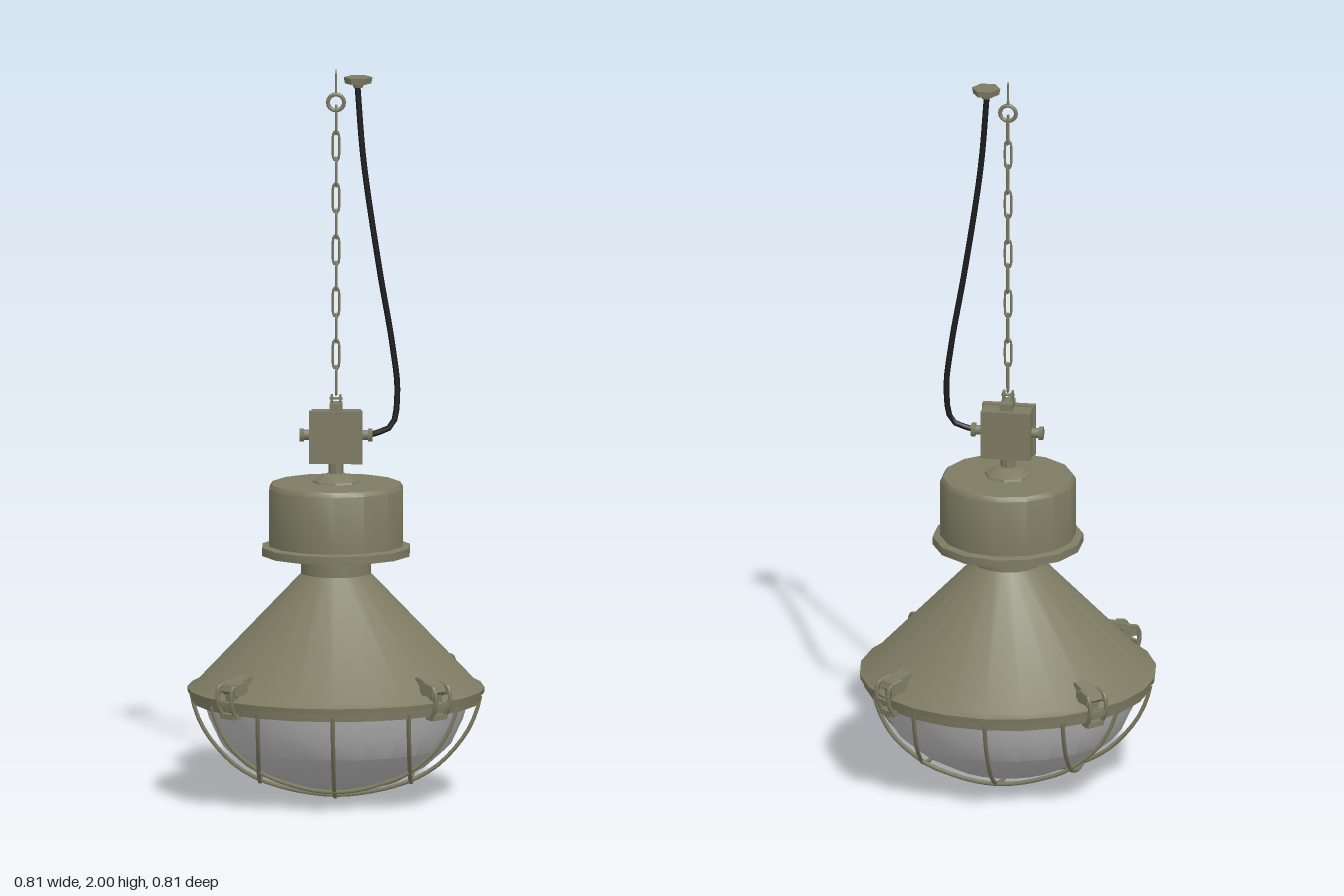
import * as THREE from 'three';
import { toCreasedNormals } from 'three/addons/utils/BufferGeometryUtils.js';

const mat = (name, color, side = THREE.FrontSide) => {
  const m = new THREE.MeshStandardMaterial({ color, side });
  m.name = name;
  return m;
};
const V = (x, y, z) => new THREE.Vector3(x, y, z);

export function createModel() {
  const model = new THREE.Group();
  model.name = 'pendantLamp';
  const olive = mat('olive paint', 0x7d7b62);
  const black = mat('black rubber', 0x1c1c1c);
  const glass = mat('frosted glass', 0xb9b9b9, THREE.DoubleSide);

  const add = (name, geo, m, x = 0, y = 0, z = 0, parent = model) => {
    const mesh = new THREE.Mesh(geo, m);
    mesh.name = name;
    mesh.position.set(x, y, z);
    parent.add(mesh);
    return mesh;
  };
  // profile points run from bottom to top as [radius, y]
  const lathe = (name, pts, sides, m = olive, crease = 0.5) => add(name, toCreasedNormals(
    new THREE.LatheGeometry(pts.map(p => new THREE.Vector2(...p)), sides), crease), m);
  const tube = (name, pts, r, steps, m = olive, closed = false, sides = 6, parent = model) =>
    add(name, new THREE.TubeGeometry(new THREE.CatmullRomCurve3(pts, closed), steps, r, sides, closed), m, 0, 0, 0, parent);
  const box = (name, w, h, d, x, y, z, parent) =>
    add(name, new THREE.BoxGeometry(w, h, d), olive, x, y, z, parent);

  // conical shade with its rolled rim
  lathe('shade', [[0.36, 0.29], [0.402, 0.29], [0.404, 0.305], [0.385, 0.315], [0.095, 0.618], [0, 0.622]], 24);
  lathe('cageRim', [[0.355, 0.268], [0.392, 0.268], [0.394, 0.292], [0.355, 0.292], [0.355, 0.268]], 24);

  // neck, gear housing and the cap that carries the stem
  lathe('neck', [[0.095, 0.61], [0.095, 0.68]], 16);
  lathe('housing', [[0, 0.67], [0.205, 0.67], [0.205, 0.692], [0.185, 0.696], [0.185, 0.852], [0.177, 0.864], [0, 0.868]], 14, olive, 0.6);
  lathe('stemCap', [[0.066, 0.862], [0.062, 0.872], [0.03, 0.89], [0.02, 0.892], [0.02, 0.922], [0, 0.922]], 8);

  // glass bowl
  lathe('glassBowl', [[0, 0.025], [0.09, 0.03], [0.17, 0.05], [0.25, 0.095], [0.312, 0.15], [0.345, 0.22], [0.362, 0.28]], 24, glass, 0.45);

  // guard cage: a bowl-shaped grid of three wires each way
  const bowl = [[0, 0.008], [0.1, 0.017], [0.2, 0.044], [0.29, 0.1], [0.35, 0.17], [0.38, 0.23], [0.392, 0.282]];
  const bowlY = r => {
    const i = Math.max(1, bowl.findIndex(b => b[0] >= r - 1e-6));
    const [a, b] = [bowl[i - 1], bowl[i]];
    return a[1] + (b[1] - a[1]) * (r - a[0]) / (b[0] - a[0]);
  };
  const cage = new THREE.Group();
  cage.name = 'guardCage';
  model.add(cage);
  for (const turned of [false, true]) {
    for (const off of [-0.205, 0, 0.205]) {
      const half = Math.sqrt(0.392 ** 2 - off ** 2);
      const pts = [];
      for (let i = 0; i <= 16; i++) {
        const t = half * Math.sin((i / 8 - 1) * Math.PI / 2);
        const y = bowlY(Math.min(0.392, Math.hypot(t, off)));
        pts.push(turned ? V(t, y, off) : V(off, y, t));
      }
      tube('cageWire', pts, 0.006, 32, olive, false, 6, cage);
    }
  }

  // four toggle clips around the rim
  const wedge = new THREE.Shape([[0.315, 0.35], [0.39, 0.318], [0.41, 0.335], [0.402, 0.352], [0.34, 0.372]]
    .map(p => new THREE.Vector2(...p)));
  for (let i = 0; i < 4; i++) {
    const clip = new THREE.Group();
    clip.name = 'rimClip';
    clip.rotation.y = Math.PI / 4 + i * Math.PI / 2;
    model.add(clip);
    add('clipLever', new THREE.ExtrudeGeometry(wedge, { depth: 0.044, bevelEnabled: false }), olive, 0, 0, -0.022, clip);
    box('clipFoot', 0.06, 0.04, 0.03, 0.37, 0.325, 0, clip);
    for (const s of [-1, 1]) {
      tube('clipBail', [V(0.375, 0.358, s * 0.026), V(0.414, 0.345, s * 0.027), V(0.418, 0.3, s * 0.026), V(0.398, 0.26, s * 0.024)],
        0.006, 10, olive, false, 6, clip);
      box('clipEar', 0.05, 0.03, 0.006, 0.385, 0.34, s * 0.028, clip);
    }
    box('clipBar', 0.01, 0.012, 0.058, 0.416, 0.3, 0, clip);
    box('clipHook', 0.03, 0.014, 0.052, 0.396, 0.266, 0, clip);
  }

  // junction box with cover, cable glands and hanging lug
  box('junctionBox', 0.135, 0.135, 0.055, 0, 0.993, -0.018);
  box('boxCover', 0.145, 0.145, 0.018, 0, 0.993, 0.019);
  for (const s of [-1, 1]) {
    const gland = add('cableGland', new THREE.CylinderGeometry(0.014, 0.014, 0.025, 8), olive, s * 0.078, 0.995, -0.01);
    const nut = add('glandNut', new THREE.CylinderGeometry(0.019, 0.019, 0.012, 6), olive, s * 0.093, 0.995, -0.01);
    gland.rotation.z = nut.rotation.z = Math.PI / 2;
  }
  box('lugBase', 0.034, 0.02, 0.06, 0, 1.073, -0.01);
  for (const s of [-1, 1]) box('lugPlate', 0.006, 0.035, 0.024, s * 0.012, 1.09, 0);
  const pin = add('lugPin', new THREE.CylinderGeometry(0.004, 0.004, 0.036, 6), olive, 0, 1.097, 0);
  pin.rotation.z = Math.PI / 2;

  // chain of oval links, every other one turned
  const linkPath = [V(-0.008, -0.03, 0), V(0, -0.042, 0), V(0.008, -0.03, 0), V(0.008, 0.03, 0), V(0, 0.042, 0), V(-0.008, 0.03, 0)];
  const linkGeo = new THREE.TubeGeometry(new THREE.CatmullRomCurve3(linkPath, true, 'catmullrom', 0.3), 20, 0.0035, 5, true);
  for (let i = 0; i < 11; i++) {
    const link = add('chainLink', linkGeo, olive, 0, 1.147 + i * 0.0715, 0);
    link.rotation.y = i % 2 ? 0 : Math.PI / 2;
  }

  // ceiling eye with its screw
  add('ceilingEye', new THREE.TorusGeometry(0.022, 0.0055, 6, 16), olive, 0, 1.91, 0);
  add('eyeScrew', new THREE.CylinderGeometry(0.002, 0.004, 0.07, 6), olive, 0, 1.965, 0);

  // ceiling rose and power cable
  const rose = add('ceilingRose', toCreasedNormals(new THREE.CylinderGeometry(0.039, 0.036, 0.017, 6), 0.4), olive, 0.06, 1.971, 0);
  rose.rotation.y = Math.PI / 6;
  add('roseCollar', new THREE.CylinderGeometry(0.016, 0.013, 0.012, 8), olive, 0.06, 1.957, 0);
  tube('powerCable', [V(0.058, 1.96, 0), V(0.075, 1.75, 0), V(0.118, 1.45, -0.008), V(0.153, 1.24, -0.018),
    V(0.166, 1.11, -0.02), V(0.15, 1.02, -0.017), V(0.09, 0.995, -0.01)], 0.008, 36, black, false, 8);

  return model;
}
